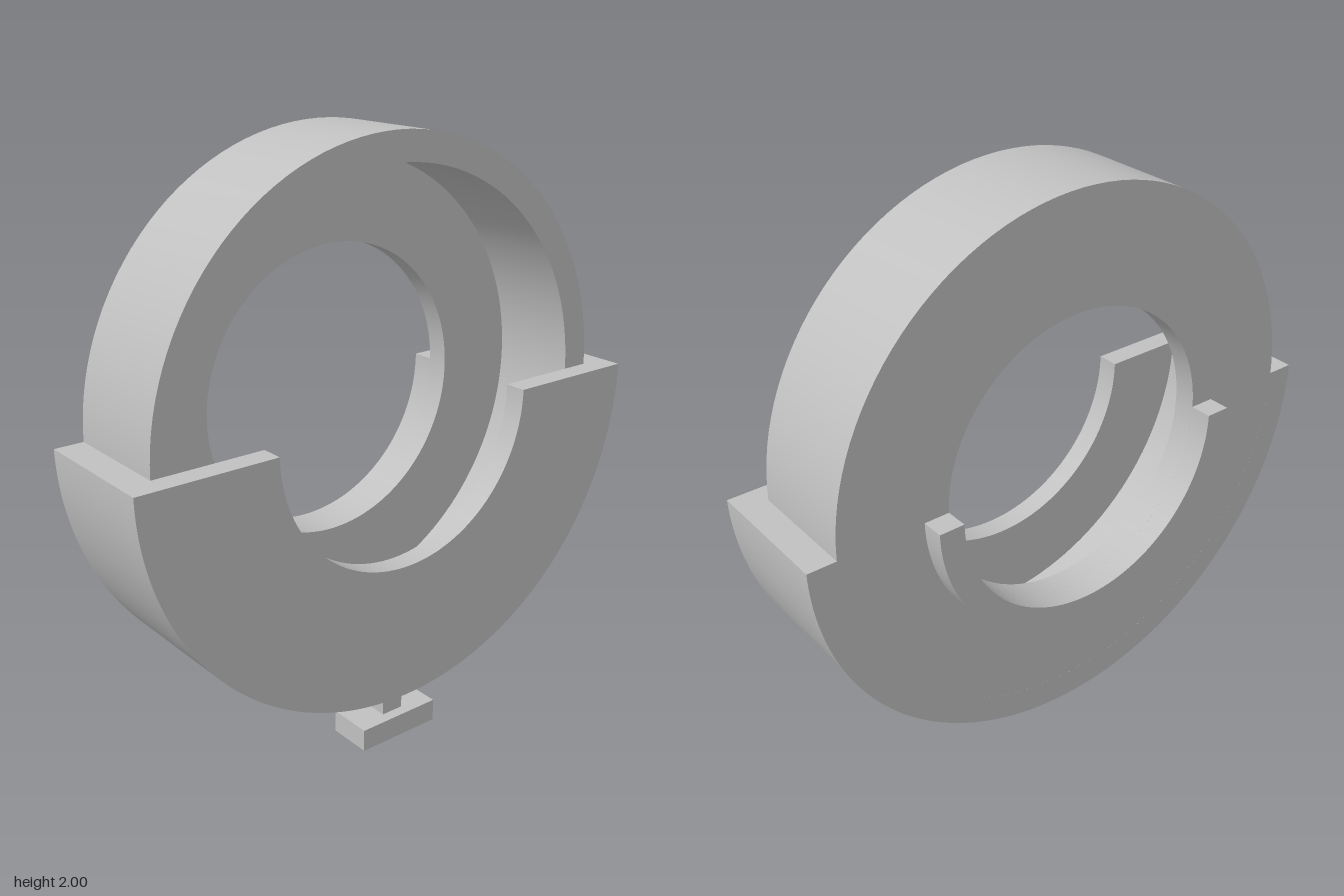
import * as THREE from 'three';
import { toCreasedNormals } from 'three/addons/utils/BufferGeometryUtils.js';

const CENTRE_Y = 1.135;
const HOLE = 0.49, LIP = 0.575, CAVITY = 0.77, RIM = 0.865, SHELL = 0.96;
const BACK = -0.192, FRONT = 0.192, DEPTH = 0.268;

export function createModel() {
  const group = new THREE.Group();
  const grey = new THREE.MeshStandardMaterial({ color: 0xc0c0c0 });
  grey.name = 'grey';

  const add = (name, geometry, x, y, z) => {
    const mesh = new THREE.Mesh(geometry, grey);
    mesh.name = name;
    mesh.position.set(x, y, z);
    group.add(mesh);
  };

  // Lower half of a ring, extruded from z0 to z1
  const halfRing = (name, inner, outer, z0, z1) => {
    const shape = new THREE.Shape();
    shape.absarc(0, 0, outer, Math.PI, 2 * Math.PI, false);
    shape.absarc(0, 0, inner, 2 * Math.PI, Math.PI, true);
    shape.closePath();
    const geometry = new THREE.ExtrudeGeometry(shape, { depth: z1 - z0, bevelEnabled: false, curveSegments: 60 });
    add(name, toCreasedNormals(geometry, 0.5), 0, CENTRE_Y, z0);
  };

  // Round cup: back plate with a hole and a raised rim, open at the front
  const plateFront = -0.115;
  const profile = [
    [HOLE, BACK], [RIM, BACK], [RIM, FRONT], [CAVITY, FRONT],
    [CAVITY, plateFront], [HOLE, plateFront], [HOLE, BACK],
  ].map(([r, z]) => new THREE.Vector2(r, z));
  const cup = new THREE.LatheGeometry(profile, 120);
  cup.rotateX(Math.PI / 2);
  add('roundHousing', toCreasedNormals(cup, 0.5), 0, CENTRE_Y, 0);

  // Lower shell wrapping the cup, its front cover and the rear lip
  halfRing('lowerShellWall', RIM, SHELL, BACK, FRONT);
  halfRing('lowerFrontCover', HOLE, SHELL, FRONT, DEPTH);
  halfRing('rearLip', HOLE, LIP, -DEPTH, BACK);

  // Stem and foot below the shell
  add('stem', new THREE.BoxGeometry(0.08, 0.125, 0.077), 0, 0.1375, 0.158);
  add('foot', new THREE.BoxGeometry(0.304, 0.077, 0.154), 0, 0.0385, 0.157);

  return group;
}
